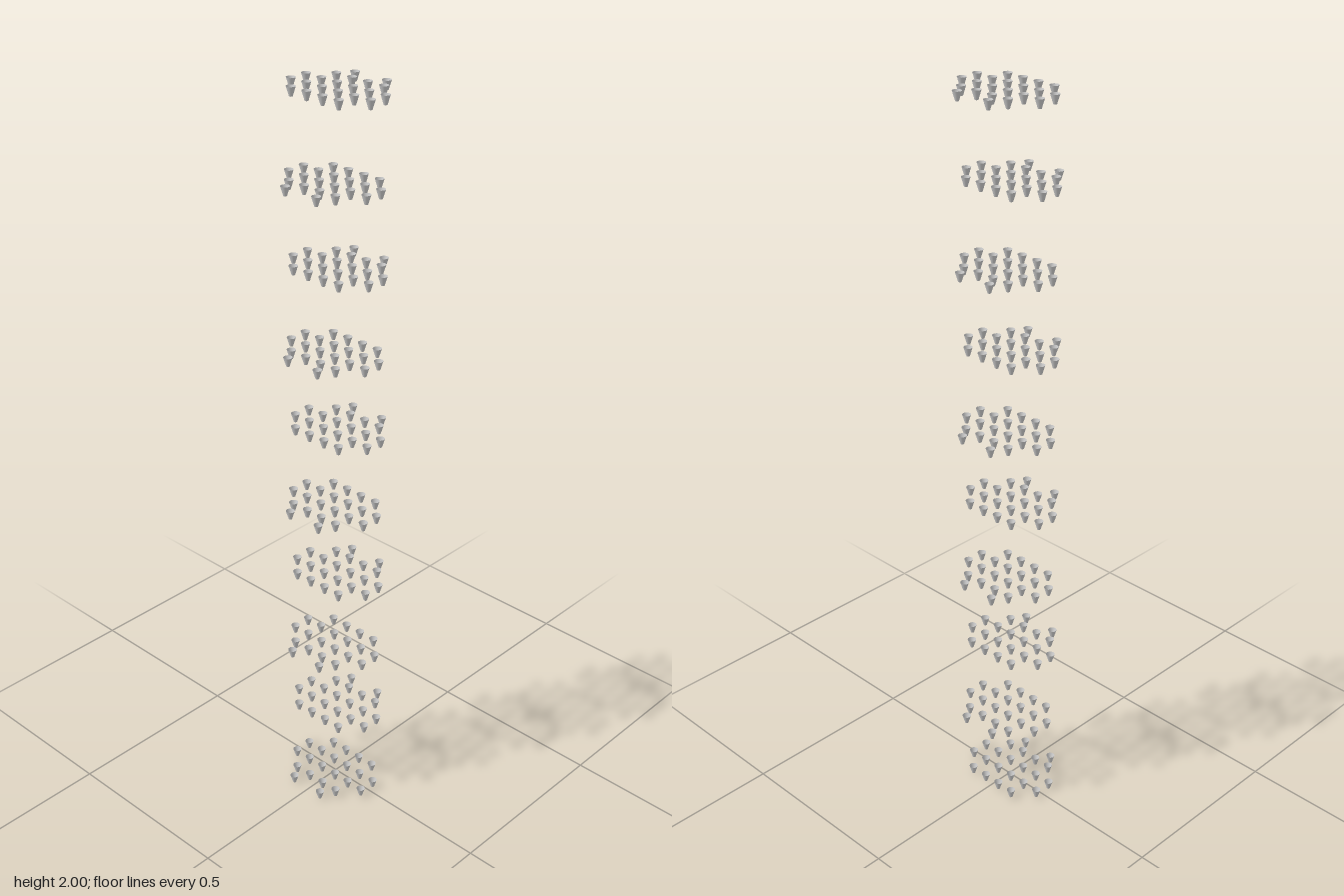
import * as THREE from 'three';
import { mergeGeometries } from 'three/addons/utils/BufferGeometryUtils.js';

const LAYERS = 10;
const CUP_H = 0.024, RIM_R = 0.0117, BASE_R = 0.0045;

// Small flared cup, open at the top, standing on y = 0
function cupGeometry() {
  const wall = new THREE.CylinderGeometry(RIM_R, BASE_R, CUP_H, 24, 1, true);
  wall.translate(0, CUP_H / 2, 0);
  const base = new THREE.CircleGeometry(BASE_R, 24);
  base.rotateX(Math.PI / 2);
  return mergeGeometries([wall, base]);
}

// Columns of one layer: x position and the z positions on one half
const COLUMNS = [
  [-0.118, [0.05]],
  [-0.0808, [0.025, 0.075]],
  [-0.0305, [0.025, 0.075, 0.125]],
  [0.0195, [0.025, 0.075, 0.125]],
  [0.07, [0.025, 0.075]],
];

export function createModel() {
  const model = new THREE.Group();
  model.name = 'cupStack';
  const geometry = cupGeometry();
  const material = new THREE.MeshStandardMaterial({ color: 0xcccccc, side: THREE.DoubleSide });
  const step = (2 - CUP_H) / (LAYERS - 1);

  for (let i = 0; i < LAYERS; i++) {
    const layer = new THREE.Group();
    layer.name = `cupLayer${i + 1}`;
    layer.position.y = i * step;
    // Every other layer is mirrored in x
    const flip = i % 2 ? -1 : 1;
    for (const [x, depths] of COLUMNS) {
      for (const z of depths) {
        for (const side of [-1, 1]) {
          const cup = new THREE.Mesh(geometry, material);
          cup.name = 'cup';
          cup.position.set(flip * x, 0, side * z);
          layer.add(cup);
        }
      }
    }
    model.add(layer);
  }
  return model;
}
